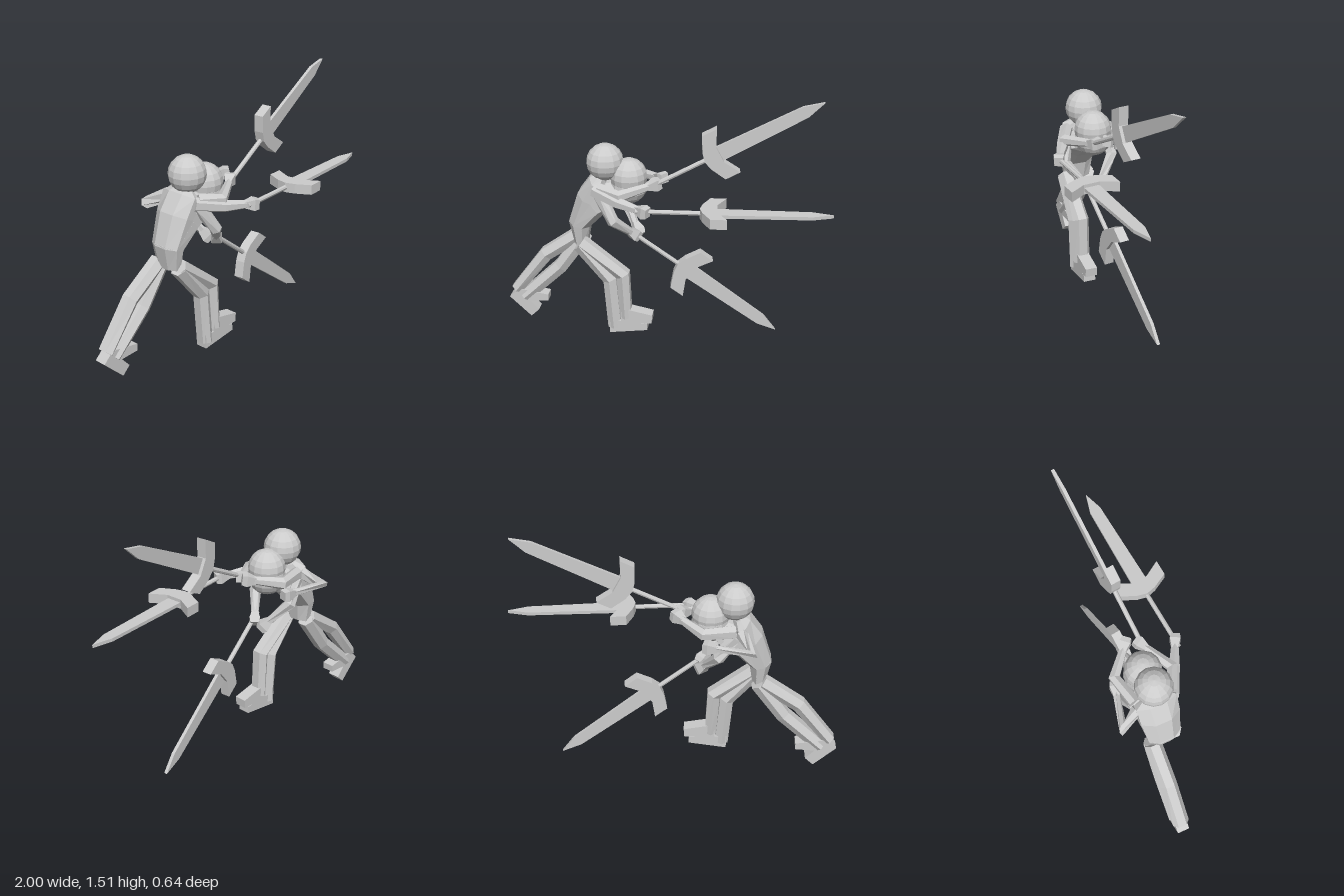
import * as THREE from 'three';

const mat = new THREE.MeshStandardMaterial({ color: 0xcccccc, flatShading: true, side: THREE.DoubleSide });
const V = (p) => new THREE.Vector3(...p);

// Faceted tube through stations [x, y, z, halfWidth, halfDepth]; ref sets the depth direction
function loft(stations, sides, ref) {
  const pts = stations.map((s) => V(s.slice(0, 3)));
  const rings = pts.map((p, i) => {
    const before = p.clone().sub(pts[Math.max(i - 1, 0)]).normalize();
    const after = pts[Math.min(i + 1, pts.length - 1)].clone().sub(p).normalize();
    const t = before.add(after).normalize();
    const b = ref.clone().addScaledVector(t, -t.dot(ref)).normalize();
    const n = b.clone().cross(t);
    const [w, d] = stations[i].slice(3);
    const grow = 1 / Math.cos(Math.PI / sides);
    return Array.from({ length: sides }, (_, k) => {
      const a = ((k + 0.5) / sides) * Math.PI * 2;
      return p.clone().addScaledVector(n, Math.cos(a) * w * grow).addScaledVector(b, Math.sin(a) * d * grow);
    });
  });
  const out = [];
  const tri = (...v) => v.forEach((p) => out.push(p.x, p.y, p.z));
  const last = rings.length - 1;
  for (let k = 0; k < sides; k++) {
    const m = (k + 1) % sides;
    for (let i = 0; i < last; i++) {
      tri(rings[i][k], rings[i][m], rings[i + 1][m]);
      tri(rings[i][k], rings[i + 1][m], rings[i + 1][k]);
    }
    tri(pts[0], rings[0][m], rings[0][k]);
    tri(pts[last], rings[last][k], rings[last][m]);
  }
  const g = new THREE.BufferGeometry();
  g.setAttribute('position', new THREE.Float32BufferAttribute(out, 3));
  g.computeVertexNormals();
  return g;
}

function add(parent, name, geometry) {
  const mesh = new THREE.Mesh(geometry, mat);
  mesh.name = name;
  parent.add(mesh);
  return mesh;
}

// Flat outline extruded evenly to both sides of its plane
function plate(outline, depth) {
  const shape = new THREE.Shape(outline.map(([x, y]) => new THREE.Vector2(x, y)));
  return new THREE.ExtrudeGeometry(shape, { depth, bevelEnabled: false }).translate(0, 0, -depth / 2);
}

// Sword running along local x from the hand, turned to point at the tip
function sword(hand, tip, flatDir) {
  const g = new THREE.Group();
  g.name = 'sword';
  const grip = new THREE.CylinderGeometry(0.014, 0.014, 0.42, 8).rotateZ(-Math.PI / 2).translate(0.14, 0, 0);
  add(g, 'grip', grip);
  add(g, 'guard', plate([[0.3, 0], [0.315, -0.06], [0.36, -0.15], [0.455, -0.15], [0.4, -0.05],
    [0.4, 0.05], [0.455, 0.15], [0.36, 0.15], [0.315, 0.06]], 0.06));
  const end = V(tip).distanceTo(V(hand));
  add(g, 'blade', plate([[0.36, -0.047], [end - 0.12, -0.035], [end, 0], [end - 0.12, 0.035], [0.36, 0.047]], 0.02));
  const d = V(tip).sub(V(hand)).normalize();
  const n = flatDir.clone().addScaledVector(d, -d.dot(flatDir)).normalize();
  g.applyMatrix4(new THREE.Matrix4().makeBasis(d, n, d.clone().cross(n)).setPosition(V(hand)));
  return g;
}

// Arm from shoulder over elbow to wrist, ending in a flared hand
function arm(parent, shoulder, elbow, wrist) {
  const g = new THREE.Group();
  g.name = 'arm';
  const up = new THREE.Vector3(0, 1, 0);
  add(g, 'sleeve', loft([[...shoulder, 0.032, 0.038], [...elbow, 0.032, 0.032], [...wrist, 0.02, 0.02]], 6, up));
  const dir = V(wrist).sub(V(elbow)).normalize();
  const at = (t) => V(wrist).addScaledVector(dir, t).toArray();
  add(g, 'hand', loft([[...at(-0.035), 0.018, 0.018], [...at(0.02), 0.032, 0.034], [...at(0.05), 0.026, 0.028]], 4, up));
  parent.add(g);
}

export function createModel() {
  const model = new THREE.Group();
  model.name = 'lungingSwordFighter';
  const zDir = new THREE.Vector3(0, 0, 1), yDir = new THREE.Vector3(0, 1, 0);

  // Heads of the overlapping poses
  for (const c of [[-0.35, 1.128, -0.052], [-0.21, 1.042, -0.055], [-0.21, 0.985, -0.058]]) {
    add(model, 'head', new THREE.SphereGeometry(0.112, 14, 10)).position.set(...c);
  }

  // Torsos share the pelvis and lean forward by different amounts
  const leans = [
    [[-0.44, 0.9, 0.08, 0.12], [-0.39, 1.01, 0.055, 0.125], [-0.37, 1.04, 0.03, 0.07]],
    [[-0.41, 0.88, 0.08, 0.12], [-0.31, 0.955, 0.06, 0.125], [-0.25, 0.99, 0.03, 0.05]],
    [[-0.4, 0.86, 0.07, 0.12], [-0.28, 0.92, 0.05, 0.12], [-0.22, 0.95, 0.03, 0.05]],
  ];
  for (const lean of leans) {
    const rows = [[-0.505, 0.6, 0.04, 0.08], [-0.51, 0.73, 0.065, 0.1], ...lean];
    add(model, 'torso', loft(rows.map(([x, y, w, d]) => [x, y, -0.06, w, d]), 8, zDir));
  }
  add(model, 'neck', loft([[-0.4, 1.0, -0.055, 0.035, 0.035], [-0.35, 1.09, -0.055, 0.035, 0.035]], 6, zDir));

  // Legs: hip, knee, ankle as [x, y, half width], then heel and toe of the foot
  const legs = [
    ['frontLeg', 0.015, [[-0.5, 0.62, 0.045], [-0.24, 0.42, 0.042], [-0.225, 0.13, 0.035]], [[-0.25, 0.15, 0.05], [-0.06, 0.135, 0.028]]],
    ['frontLeg', 0.015, [[-0.5, 0.61, 0.045], [-0.32, 0.385, 0.042], [-0.295, 0.06, 0.04]], [[-0.325, 0.07, 0.045], [-0.09, 0.08, 0.022]]],
    ['backLeg', -0.128, [[-0.52, 0.62, 0.045], [-0.75, 0.46, 0.042], [-0.95, 0.2, 0.035]], [[-0.965, 0.18, 0.042], [-0.835, 0.045, 0.035]]],
    ['backLeg', -0.128, [[-0.5, 0.61, 0.045], [-0.66, 0.38, 0.042], [-0.9, 0.15, 0.04]], [[-0.95, 0.17, 0.045], [-0.745, 0.16, 0.022]]],
  ];
  for (const [name, z, line, foot] of legs) {
    const leg = new THREE.Group();
    leg.name = name;
    add(leg, 'trouserLeg', loft(line.map(([x, y, w]) => [x, y, z, w, 0.046]), 6, zDir));
    add(leg, 'foot', loft(foot.map(([x, y, w]) => [x, y, z, w, 0.038]), 4, zDir));
    model.add(leg);
  }

  // High, level and low strikes: sword arm, supporting arm, sword
  arm(model, [-0.37, 0.99, 0.05], [-0.24, 0.98, 0.115], [-0.06, 1.015, 0.005]);
  arm(model, [-0.35, 0.99, -0.17], [-0.17, 1.0, -0.215], [-0.03, 1.03, -0.09]);
  model.add(sword([-0.02, 1.035, 0.005], [0.915, 1.535, -0.1], yDir));

  arm(model, [-0.4, 0.98, 0.05], [-0.24, 0.945, 0.13], [-0.1, 0.935, 0.2]);
  arm(model, [-0.39, 0.98, -0.17], [-0.45, 0.92, -0.285], [-0.22, 0.92, -0.23]);
  model.add(sword([-0.06, 0.935, 0.205], [1.0, 0.925, 0.11], zDir));

  arm(model, [-0.37, 0.96, 0.05], [-0.28, 0.81, 0.1], [-0.18, 0.7, 0.01]);
  arm(model, [-0.35, 0.95, -0.17], [-0.26, 0.83, -0.2], [-0.17, 0.69, -0.09]);
  model.add(sword([-0.15, 0.68, 0.005], [0.695, 0.04, -0.1], yDir));

  return model;
}
